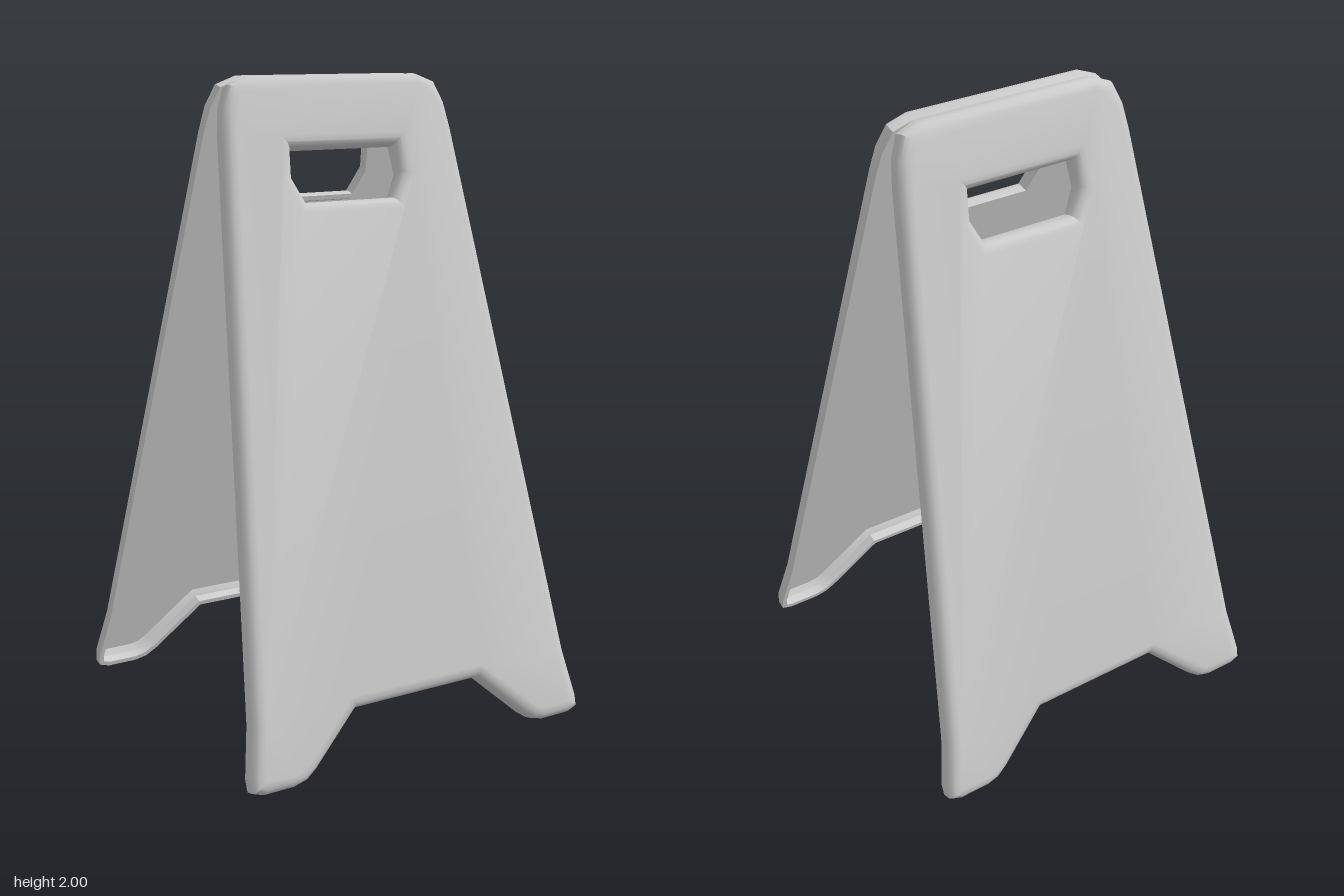
import * as THREE from 'three';
import { toCreasedNormals } from 'three/addons/utils/BufferGeometryUtils.js';

const LENGTH = 2.064, FOOT_Z = 0.542; // panel length along its slope, half spread at the floor

// Half outlines (x, distance up the panel), mirrored to closed loops
const halfPanel = [
  [0.22, 0.18], [0.375, 0.035], [0.41, 0.01], [0.45, 0], [0.55, 0], [0.585, 0.012], [0.587, 0.05],
  [0.56, 0.2], [0.4, 1.89], [0.388, 1.97], [0.36, 2.038], [0.295, LENGTH],
];
const halfGrip = [[0.155, 1.68], [0.192, 1.755], [0.184, 1.842]];

// Wall section from the front face, over the rounded edge, round the rim and into the hollow back:
// [distance from the outline into the material, height above the rim]
const section = [
  [0.036, 0.06], [0.018, 0.056], [0.006, 0.045], [0, 0.03],
  [0, 0], [0.015, 0], [0.018, 0.03], [0.036, 0.046],
];

const mirrorLoop = (half) => [...half, ...half.map(([x, y]) => [-x, y]).reverse()]
  .map(([x, y]) => new THREE.Vector2(x, y));

// Shift a loop to its left by d, with mitred corners
function offsetLoop(loop, d) {
  const n = loop.length;
  const leftNormal = (a, b) => {
    const t = b.clone().sub(a).normalize();
    return new THREE.Vector2(-t.y, t.x);
  };
  return loop.map((p, i) => {
    const n1 = leftNormal(loop[(i + n - 1) % n], p);
    const n2 = leftNormal(p, loop[(i + 1) % n]);
    return p.clone().addScaledVector(n1.clone().add(n2), d / (1 + n1.dot(n2)));
  });
}

function panelGeometry() {
  const loops = [mirrorLoop(halfPanel), mirrorLoop(halfGrip).reverse()];
  const positions = [];
  const tri = (...pts) => pts.forEach(([p, z]) => positions.push(p.x, p.y, z));

  // Outer edge and grip collar share the same section
  const rings = loops.map((loop) => section.map(([d]) => offsetLoop(loop, d)));
  for (const ring of rings) {
    for (let k = 0; k < section.length - 1; k++) {
      const z0 = section[k][1], z1 = section[k + 1][1];
      ring[k].forEach((p, i) => {
        const j = (i + 1) % ring[k].length;
        const a = [p, z0], b = [ring[k][j], z0];
        const c = [ring[k + 1][j], z1], d = [ring[k + 1][i], z1];
        tri(a, d, c);
        tri(a, c, b);
      });
    }
  }

  // Front face and hollow back face, both pierced by the grip
  for (const k of [0, section.length - 1]) {
    const outer = rings[0][k], hole = rings[1][k], z = section[k][1];
    const points = [...outer, ...hole];
    for (const [a, b, c] of THREE.ShapeUtils.triangulateShape(outer, [hole])) {
      const corners = k === 0 ? [a, b, c] : [c, b, a];
      tri(...corners.map((i) => [points[i], z]));
    }
  }

  const geometry = new THREE.BufferGeometry();
  geometry.setAttribute('position', new THREE.Float32BufferAttribute(positions, 3));
  return toCreasedNormals(geometry, THREE.MathUtils.degToRad(36));
}

export function createModel() {
  const model = new THREE.Group();
  model.name = 'foldingFloorSign';
  const geometry = panelGeometry();
  const material = new THREE.MeshStandardMaterial({ color: 0xcccccc });

  // Two leaning panels that meet at the top
  for (const [name, turn] of [['frontPanel', 0], ['backPanel', Math.PI]]) {
    const side = new THREE.Group();
    side.name = name;
    side.rotation.y = turn;
    const mesh = new THREE.Mesh(geometry, material);
    mesh.name = name + 'Shell';
    mesh.rotation.x = -Math.asin(FOOT_Z / LENGTH);
    mesh.position.z = FOOT_Z;
    side.add(mesh);
    model.add(side);
  }
  return model;
}
